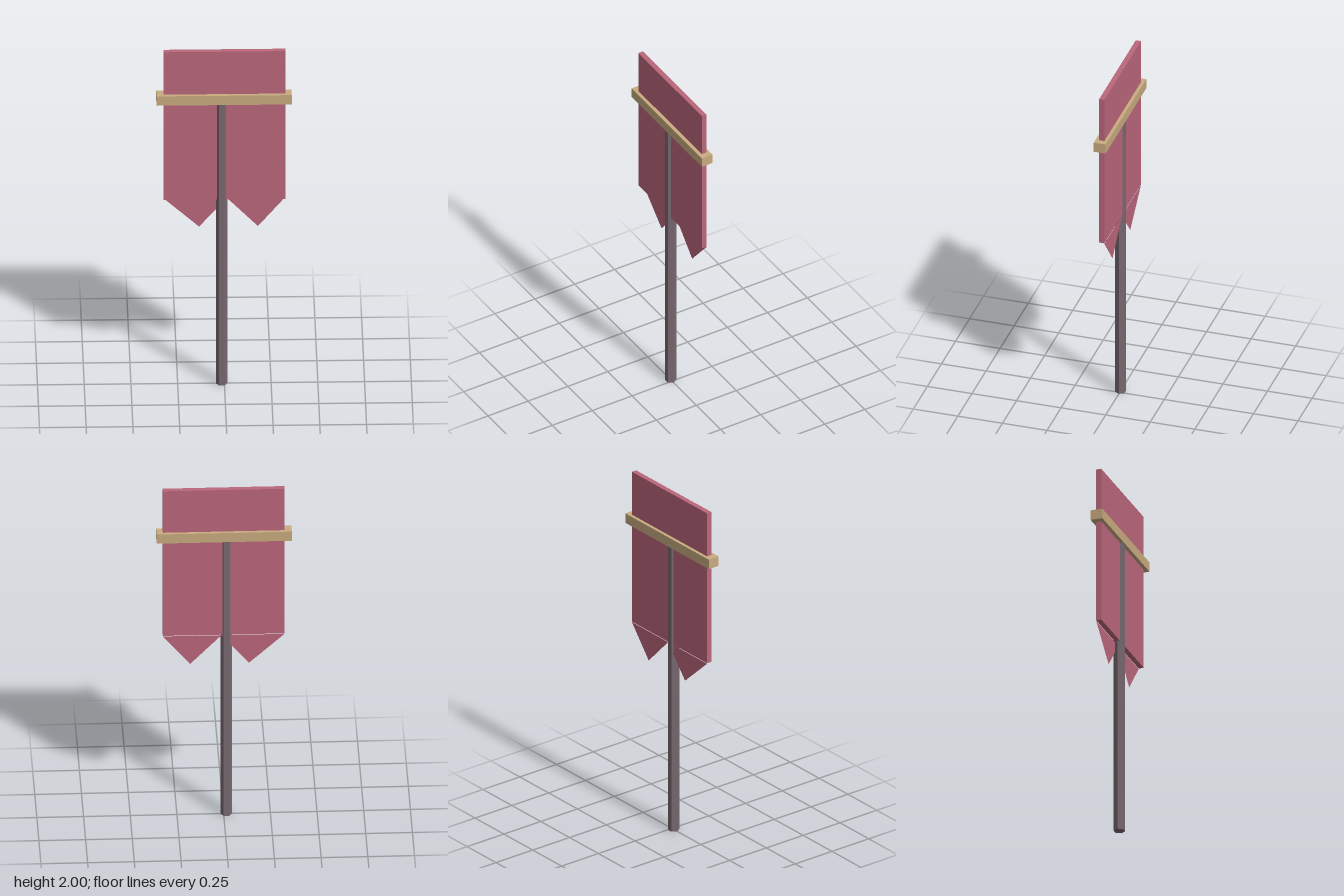
import * as THREE from 'three';

const cloth = new THREE.MeshStandardMaterial({ color: 0xbb677c, flatShading: true, side: THREE.DoubleSide });
cloth.name = 'rose cloth';
const lightWood = new THREE.MeshStandardMaterial({ color: 0xc9ab80, flatShading: true });
lightWood.name = 'light wood';
const darkWood = new THREE.MeshStandardMaterial({ color: 0x786870, flatShading: true });
darkWood.name = 'dark wood';

export function createModel() {
  const group = new THREE.Group();
  const add = (name, geometry, material, x, y, z) => {
    const mesh = new THREE.Mesh(geometry, material);
    mesh.name = name;
    mesh.position.set(x, y, z);
    group.add(mesh);
  };

  // Hexagonal pole with a flat side to the front
  const poleGeometry = new THREE.CylinderGeometry(0.031, 0.031, 1.69, 6);
  poleGeometry.rotateY(Math.PI / 6);
  add('pole', poleGeometry, darkWood, -0.015, 0.845, 0);

  // Crossbar on top of the pole
  add('crossbar', new THREE.BoxGeometry(0.724, 0.056, 0.067), lightWood, -0.002, 1.717, -0.001);

  // Cloth panel passing through the crossbar
  add('banner', new THREE.BoxGeometry(0.652, 0.89, 0.029), cloth, 0, 1.555, -0.002);

  // Two flat pointed tails hanging at the rear of the panel
  const tails = [
    ['rightTail', -0.326, -0.135, 0.014],
    ['leftTail', 0.012, 0.18, 0.326],
  ];
  for (const [name, start, tip, end] of tails) {
    const shape = new THREE.Shape([
      new THREE.Vector2(start, 1.107),
      new THREE.Vector2(tip, 0.934),
      new THREE.Vector2(end, 1.107),
    ]);
    add(name, new THREE.ShapeGeometry(shape), cloth, 0, 0, -0.0165);
  }
  return group;
}
